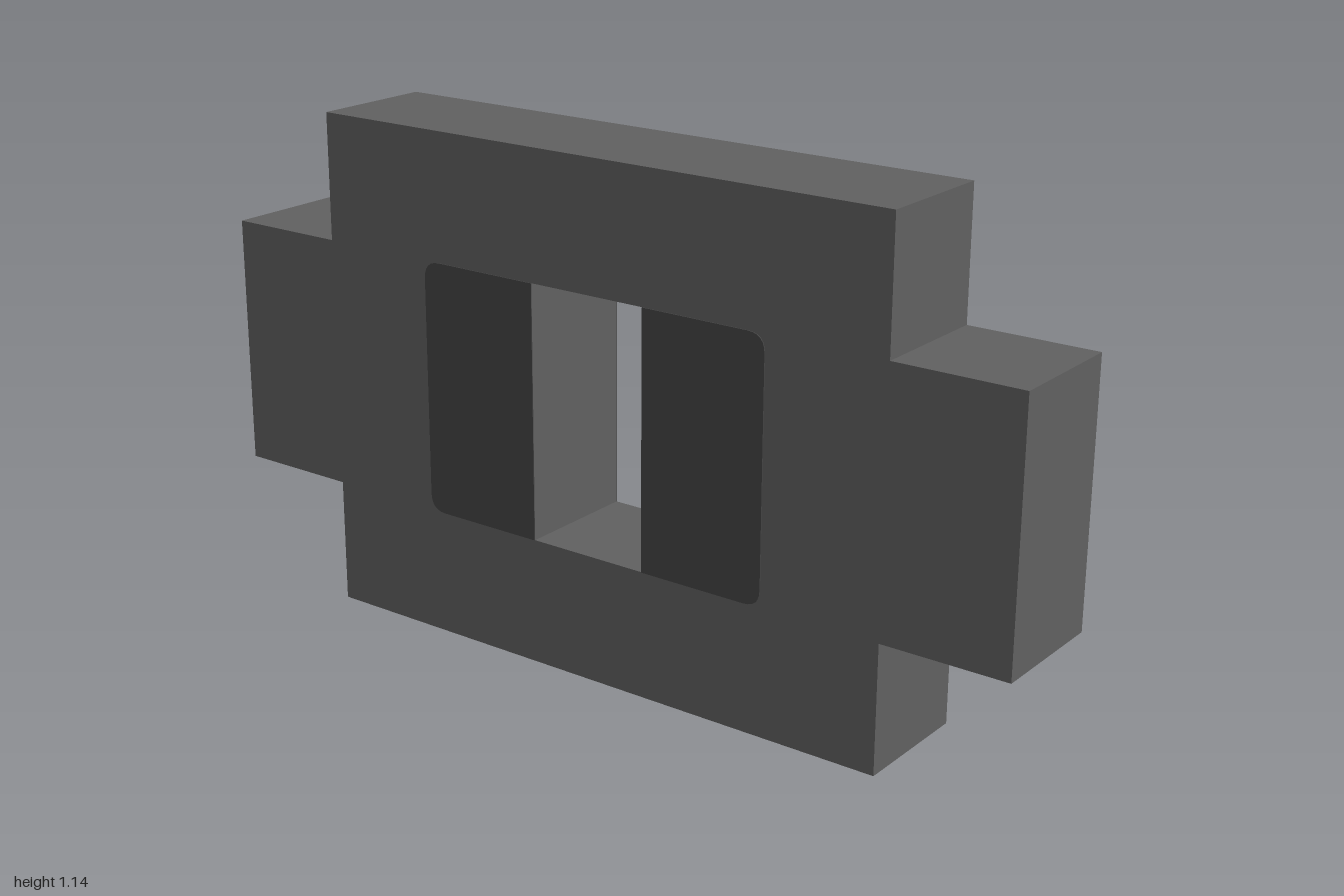
import * as THREE from 'three';

const U = 2 / 7;               // the design sits on a seven-unit grid
const T = U;                   // body thickness
const bodyMat = new THREE.MeshStandardMaterial({ name: 'mid grey', color: 0x626262 });
const panelMat = new THREE.MeshStandardMaterial({ name: 'dark grey', color: 0x464646 });

// Extrudes a (z, y) outline along x, centred on the given x
function slab(name, shape, depth, x, mat) {
  const geo = new THREE.ExtrudeGeometry(shape, { depth, bevelEnabled: false, curveSegments: 6 });
  geo.translate(0, 0, -depth / 2);
  geo.rotateY(-Math.PI / 2);
  const mesh = new THREE.Mesh(geo, mat);
  mesh.name = name;
  mesh.position.x = x;
  return mesh;
}

const points = (list) => list.map(([z, y]) => new THREE.Vector2(z * U, y * U));

// Panel beside the slot, rounded on its outer corners; s = +1 front, -1 back
function panelShape(s) {
  const a = s * U / 2, b = s * 0.438, r = 0.04, c = s * r, y0 = U, y1 = 3 * U;
  const p = new THREE.Shape();
  p.moveTo(a, y0);
  p.lineTo(b - c, y0);
  p.quadraticCurveTo(b, y0, b, y0 + r);
  p.lineTo(b, y1 - r);
  p.quadraticCurveTo(b, y1, b - c, y1);
  p.lineTo(a, y1);
  p.closePath();
  return p;
}

export function createModel() {
  const group = new THREE.Group();
  group.name = 'slottedBlock';

  // Stepped body with a rectangular slot through it
  const outline = new THREE.Shape(points([
    [-2.5, 0], [2.5, 0], [2.5, 1], [3.5, 1], [3.5, 3], [2.5, 3],
    [2.5, 4], [-2.5, 4], [-2.5, 3], [-3.5, 3], [-3.5, 1], [-2.5, 1],
  ]));
  outline.holes.push(new THREE.Path(points([[-0.5, 1], [-0.5, 3], [0.5, 3], [0.5, 1]])));
  group.add(slab('body', outline, T, 0, bodyMat));

  // Dark panels flanking the slot on both faces
  const thin = 0.002;
  for (const side of [1, -1])
    for (const s of [1, -1])
      group.add(slab(`${side > 0 ? 'left' : 'right'}${s > 0 ? 'Front' : 'Back'}Panel`,
        panelShape(s), thin, side * (T + thin) / 2, panelMat));

  return group;
}
